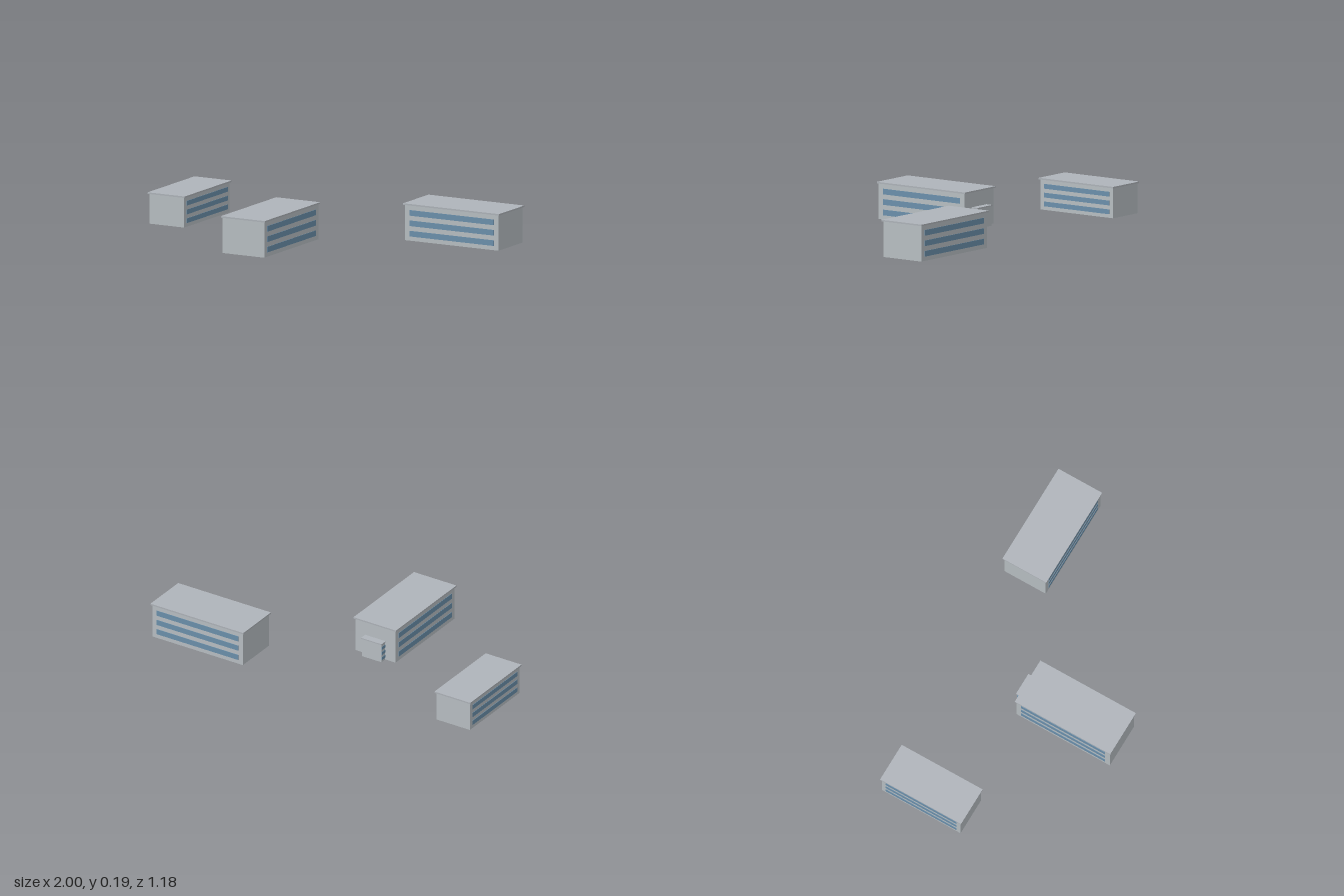
import * as THREE from 'three';

const material = (name, color) => {
  const m = new THREE.MeshStandardMaterial({ color });
  m.name = name;
  return m;
};

export function createModel() {
  const wall = material('wall grey', 0xb9c0c4);
  const roof = material('roof grey', 0xafb4ba);
  const glass = material('window blue', 0x6c91ad);

  const box = (parent, name, mat, size, pos) => {
    const mesh = new THREE.Mesh(new THREE.BoxGeometry(...size), mat);
    mesh.name = name;
    mesh.position.set(...pos);
    parent.add(mesh);
  };

  // Block with its long axis on z, an overhanging flat roof and three window bands on each long side
  const building = (name, { width, length, height, slab = 0.008, overhang = 0.007 }) => {
    const g = new THREE.Group();
    g.name = name;
    const body = height - slab;
    box(g, 'walls', wall, [width, body, length], [0, body / 2, 0]);
    box(g, 'roofSlab', roof, [width + 2 * overhang, slab, length + 2 * overhang], [0, body + slab / 2, 0]);
    for (const side of [-1, 1]) {
      for (let floor = 0; floor < 3; floor++) {
        const y = body * (0.2 + 0.293 * floor);
        box(g, 'windowBand', glass, [0.004, body * 0.158, length * 0.9], [side * width / 2, y, 0]);
      }
    }
    return g;
  };

  const model = new THREE.Group();
  model.name = 'buildingComplex';
  const tilt = -Math.PI / 12;
  const place = (g, x, z, angle) => {
    g.position.set(x, 0, z);
    g.rotation.y = angle;
    model.add(g);
  };

  const large = { width: 0.247, length: 0.556, height: 0.194 };
  const main = building('mainBuilding', large);
  // Small entrance porch on the back end wall
  const porch = building('entrancePorch', { width: 0.12, length: 0.037, height: 0.108, slab: 0.006, overhang: 0.003 });
  porch.position.z = -0.2955;
  main.add(porch);

  place(main, -0.238, 0.278, tilt);
  place(building('sideBuilding', large), 0.69, -0.1, tilt + Math.PI / 2);
  place(building('smallBuilding', { width: 0.206, length: 0.469, height: 0.165 }), -0.831, -0.327, tilt);
  return model;
}
